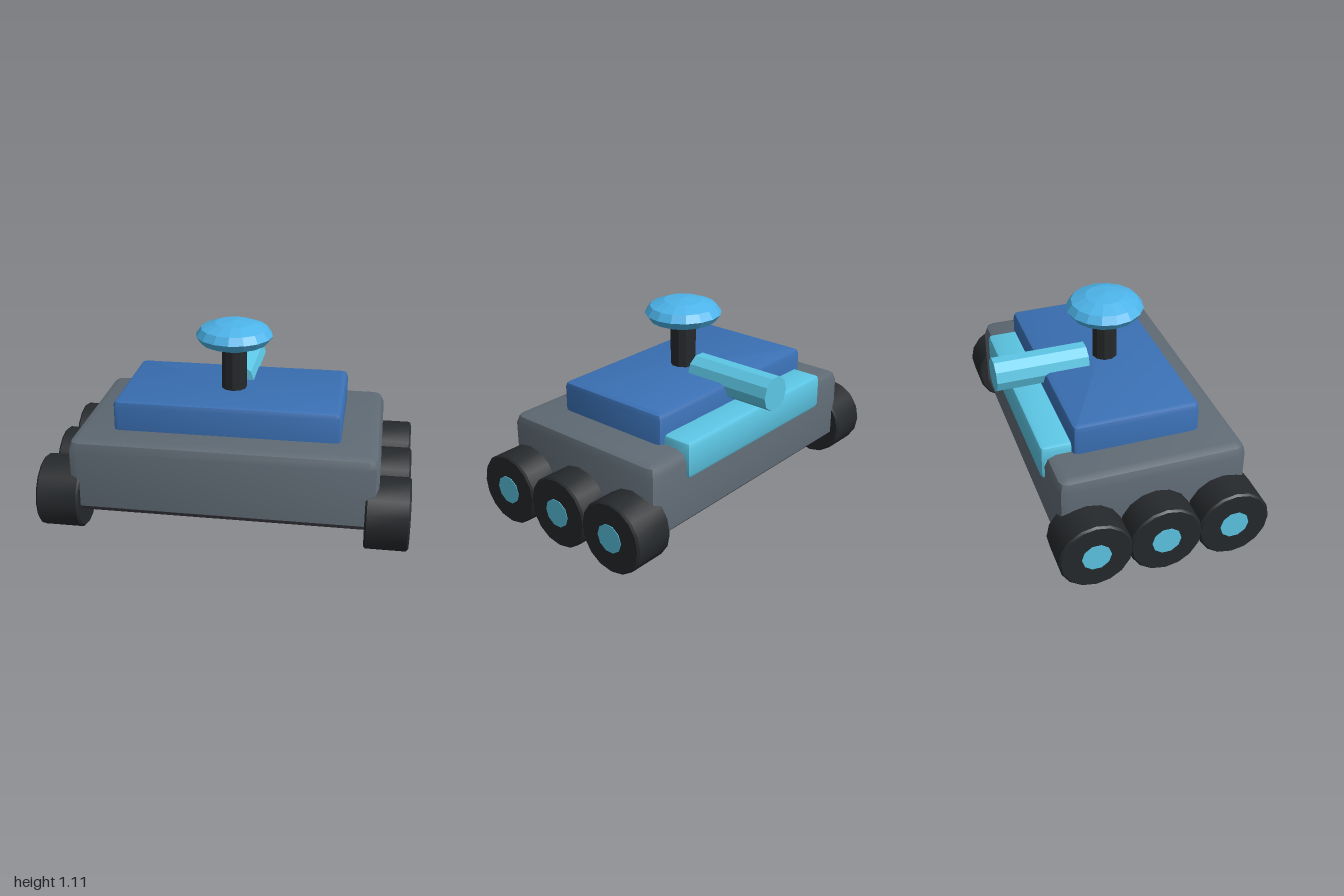
import * as THREE from 'three';
import { toCreasedNormals } from 'three/addons/utils/BufferGeometryUtils.js';

const paint = (color, flatShading = false) => new THREE.MeshStandardMaterial({ color, flatShading });
const GREY = paint(0x5f6a74);
const BLUE = paint(0x3a70b4);
const CYAN = paint(0x5cc6e4);
const DISH = paint(0x4db4ea, true);
const BLACK = paint(0x26292c);
const UNDER = paint(0x2c2a30);

// Rounded rectangle in plan, stacked in rings of [y, inset] and capped at both ends
function slab(x, z0, z1, r, rings) {
  const pos = [], idx = [], cz = (z0 + z1) / 2, hz = (z1 - z0) / 2;
  const corners = [[1, 1, 0], [-1, 1, 1], [-1, -1, 2], [1, -1, 3]];
  for (const [y, inset] of rings) {
    const rad = Math.max(r - inset, 0.002);
    for (const [sx, sz, q] of corners) {
      for (let k = 0; k <= 2; k++) {
        const a = (q + k / 2) * Math.PI / 2;
        pos.push(sx * (x - inset - rad) + rad * Math.cos(a), y,
          cz + sz * (hz - inset - rad) + rad * Math.sin(a));
      }
    }
  }
  const n = 12, last = (rings.length - 1) * n;
  for (let i = 0; i < rings.length - 1; i++) {
    for (let j = 0; j < n; j++) {
      const a = i * n + j, b = i * n + (j + 1) % n;
      idx.push(a, a + n, b, b, a + n, b + n);
    }
  }
  for (let j = 1; j < n - 1; j++) {
    idx.push(0, j, j + 1);
    idx.push(last, last + j + 1, last + j);
  }
  const g = new THREE.BufferGeometry();
  g.setAttribute('position', new THREE.Float32BufferAttribute(pos, 3));
  g.setIndex(idx);
  return toCreasedNormals(g, 0.6);
}

// Two-step rounding for the top edge of a slab
const topEdge = (y, r) => [[y - r, 0], [y - r * 0.3, r * 0.3], [y, r]];

function createModel() {
  const model = new THREE.Group();
  model.name = 'rover';
  const add = (name, geometry, material, parent = model) => {
    const mesh = new THREE.Mesh(geometry, material);
    mesh.name = name;
    parent.add(mesh);
    return mesh;
  };

  // Hull, floor and raised deck
  add('hull', slab(0.83, -0.485, 0.545, 0.06, [[0.17, 0], ...topEdge(0.555, 0.06)]), GREY);
  add('floorPlate', slab(0.825, -0.48, 0.547, 0.06, [[0.162, 0], [0.178, 0]]), UNDER);
  add('deck', slab(0.615, -0.34, 0.355, 0.03, [[0.54, 0], ...topEdge(0.72, 0.03)]), BLUE);

  // Storage box hung on the back
  add('rearBox', slab(0.583, -0.505, -0.3, 0.025,
    [[0.405, 0.025], [0.413, 0.008], [0.43, 0], ...topEdge(0.605, 0.025)]), CYAN);

  // Tank lying on the deck and overhanging the back
  const tank = new THREE.CylinderGeometry(0.096, 0.096, 0.52, 10);
  tank.rotateY(Math.PI / 10).rotateX(Math.PI / 2);
  add('rearTank', toCreasedNormals(tank, 0.5), CYAN).position.set(0, 0.711, -0.342);

  // Mast and its flattened head
  const mast = toCreasedNormals(new THREE.CylinderGeometry(0.07, 0.07, 0.29, 10), 0.5);
  add('mast', mast, BLACK).position.set(0, 0.855, 0.034);
  const head = add('mastHead', new THREE.SphereGeometry(0.212, 16, 6), DISH);
  head.scale.y = 0.081 / 0.212;
  head.position.set(0, 1.024, 0.034);

  // Six wheels with hubs showing on both faces
  const profile = [[0, -0.117], [0.187, -0.117], [0.197, -0.107],
    [0.197, 0.107], [0.187, 0.117], [0, 0.117]].map(([r, y]) => new THREE.Vector2(r, y));
  const tyre = toCreasedNormals(new THREE.LatheGeometry(profile, 16).rotateZ(Math.PI / 2), 0.5);
  const hub = toCreasedNormals(
    new THREE.CylinderGeometry(0.079, 0.079, 0.24, 10).rotateZ(Math.PI / 2), 0.7);
  for (const [side, s] of [['left', 1], ['right', -1]]) {
    [['Front', 0.409], ['Middle', 0.033], ['Rear', -0.342]].forEach(([place, z]) => {
      const wheel = new THREE.Group();
      wheel.name = side + place + 'Wheel';
      wheel.position.set(s * 0.88, 0.197, z);
      add('tyre', tyre, BLACK, wheel);
      add('hub', hub, CYAN, wheel);
      model.add(wheel);
    });
  }
  return model;
}

export { createModel };
